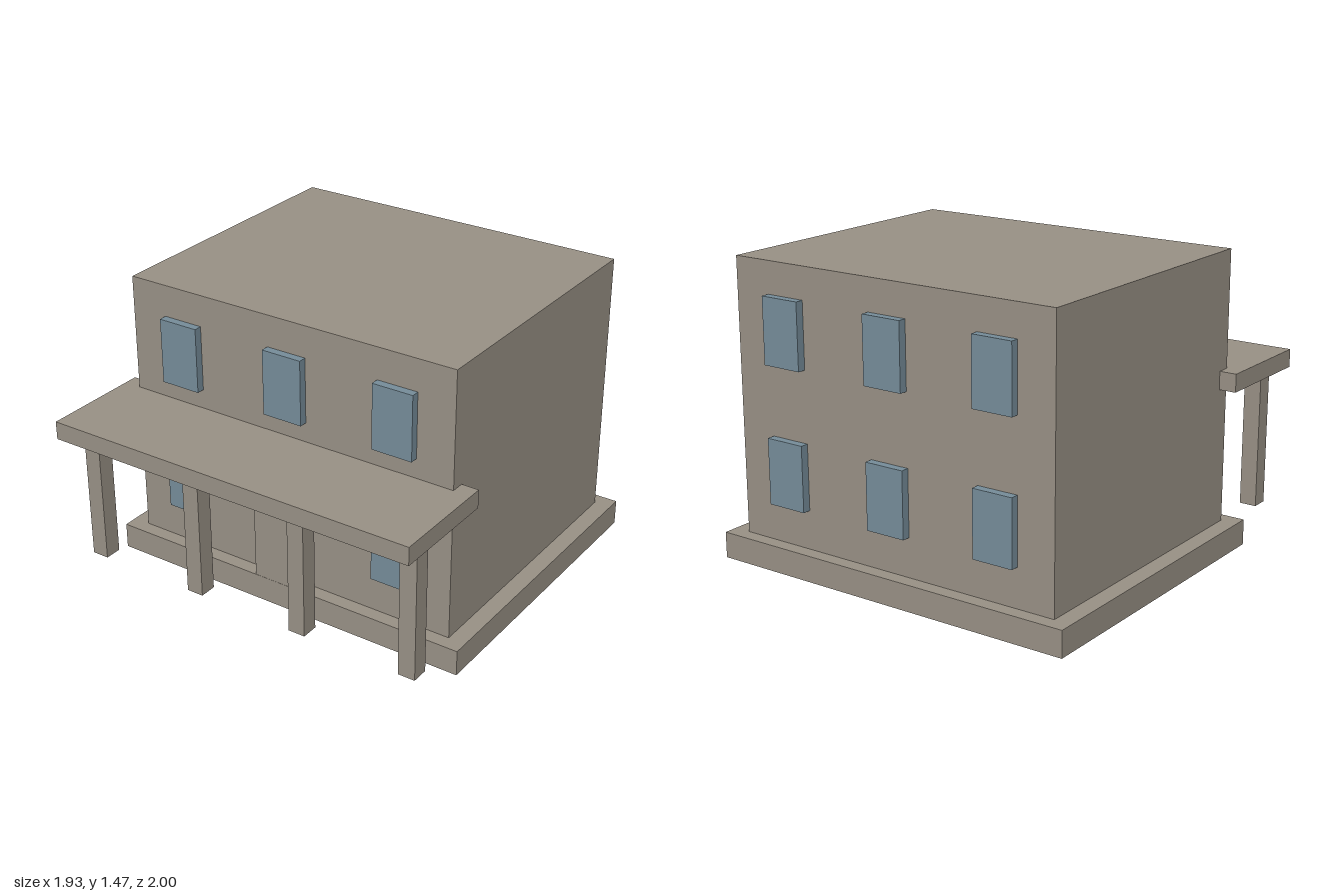
import * as THREE from 'three';

const stone = new THREE.MeshStandardMaterial({ color: 0x999186 });
stone.name = 'stone';
const glass = new THREE.MeshStandardMaterial({ color: 0x768d9a });
glass.name = 'glass';

// Box given by its extents along each axis
function block(name, material, [x0, x1], [y0, y1], [z0, z1]) {
  const mesh = new THREE.Mesh(new THREE.BoxGeometry(x1 - x0, y1 - y0, z1 - z0), material);
  mesh.position.set((x0 + x1) / 2, (y0 + y1) / 2, (z0 + z1) / 2);
  mesh.name = name;
  return mesh;
}

export function createModel() {
  const house = new THREE.Group();
  house.name = 'house';

  // Plinth, main volume and door slab
  house.add(
    block('foundation', stone, [-0.963, 0.963], [0, 0.128], [-1, 0.58]),
    block('walls', stone, [-0.877, 0.877], [0.128, 1.467], [-0.93, 0.51]),
    block('door', stone, [-0.152, 0.152], [0.128, 0.575], [0.525, 0.579])
  );

  // Porch roof on four square columns
  const porch = new THREE.Group();
  porch.name = 'porch';
  porch.add(block('porchRoof', stone, [-0.963, 0.963], [0.802, 0.892], [0.443, 1]));
  for (const x of [-0.878, -0.292, 0.292, 0.878]) {
    porch.add(block('porchColumn', stone, [x - 0.043, x + 0.043], [0.128, 0.802], [0.78, 0.866]));
  }
  house.add(porch);

  // Two rows of three windows on the front and back
  const windows = new THREE.Group();
  windows.name = 'windows';
  for (const [side, z] of [['front', [0.51, 0.55]], ['back', [-0.971, -0.93]]]) {
    for (const y of [0.48, 1.15]) {
      for (const x of [-0.585, 0, 0.585]) {
        windows.add(block(side + 'Window', glass, [x - 0.103, x + 0.103], [y - 0.161, y + 0.161], z));
      }
    }
  }
  house.add(windows);

  return house;
}
